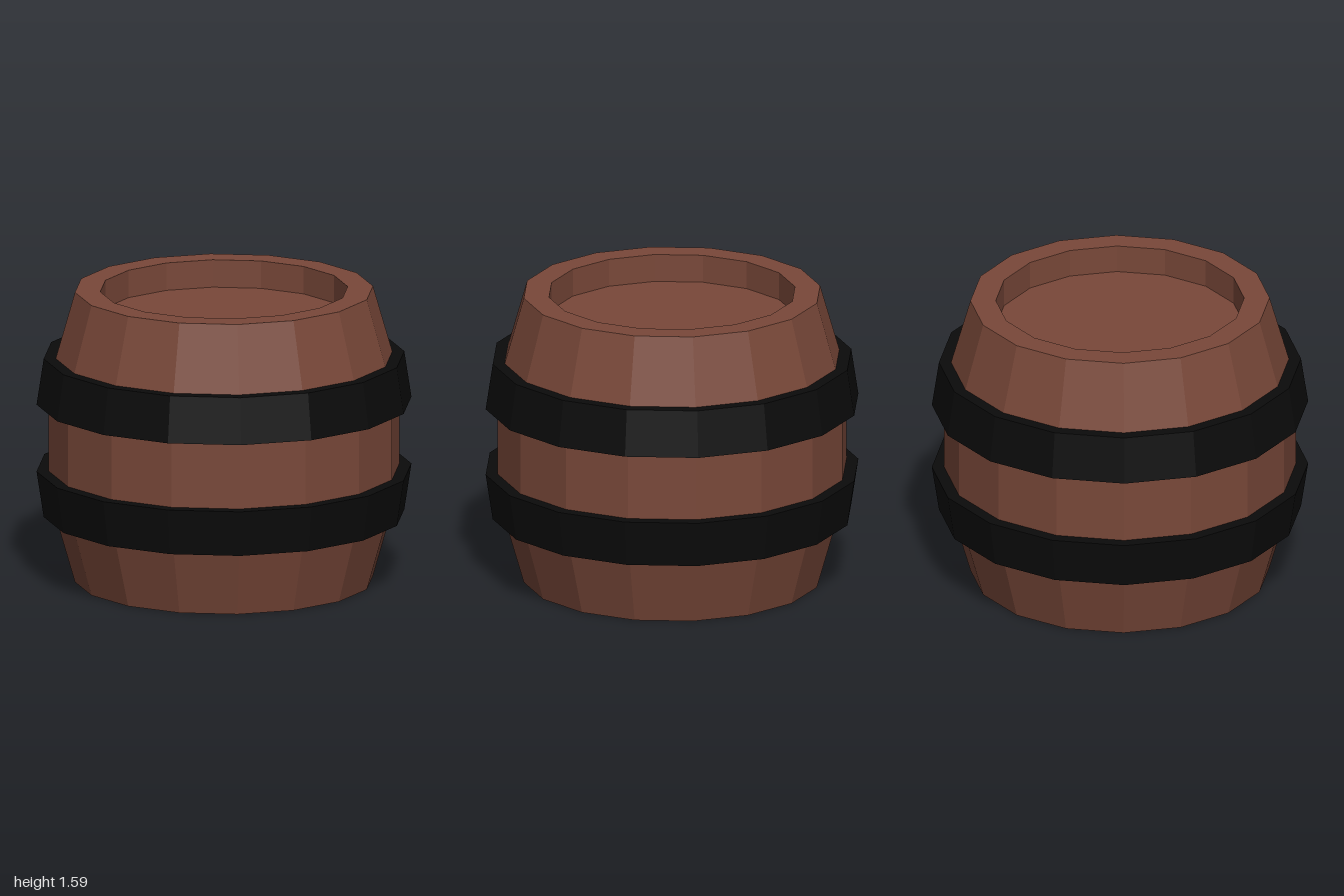
import * as THREE from 'three';

const SIDES = 16;
const HEIGHT = 1.585;
const RIM = 0.66;
const END = 0.795;
const RECESS = 0.15;

const wood = new THREE.MeshStandardMaterial({ color: 0x794839, flatShading: true });
const iron = new THREE.MeshStandardMaterial({ color: 0x0b0b0b, flatShading: true });

// Faceted ring of revolution; the profile runs upwards along its outer side
function ring(name, profile, material) {
  const points = profile.map(([r, y]) => new THREE.Vector2(r, y));
  const geometry = new THREE.LatheGeometry(points, SIDES).toNonIndexed();
  geometry.computeVertexNormals();
  const mesh = new THREE.Mesh(geometry, material);
  mesh.name = name;
  return mesh;
}

// Flat round board facing up or down
function board(name, radius, y, up) {
  const geometry = new THREE.CircleGeometry(radius, SIDES);
  geometry.rotateX(up ? -Math.PI / 2 : Math.PI / 2);
  const mesh = new THREE.Mesh(geometry, wood);
  mesh.name = name;
  mesh.position.y = y;
  return mesh;
}

export function createModel() {
  const barrel = new THREE.Group();
  barrel.name = 'barrel';

  // Bulging staves, flat rim and the inner wall of the recess
  barrel.add(ring('staves', [
    [END, 0], [0.898, 0.36], [0.935, 0.61],
    [0.935, HEIGHT - 0.61], [0.898, HEIGHT - 0.36], [END, HEIGHT],
    [RIM, HEIGHT], [RIM, HEIGHT - RECESS],
  ], wood));

  // Sunken lid and flat base
  barrel.add(board('lid', RIM, HEIGHT - RECESS, true));
  barrel.add(board('base', END, 0, false));

  // Two tapered hoops, widest towards the middle
  const hoop = [[0.89, 0.36], [0.962, 0.36], [1, 0.61], [0.93, 0.61]];
  const mirrored = hoop.map(([r, y]) => [r, HEIGHT - y]).reverse();
  barrel.add(ring('lowerHoop', hoop, iron));
  barrel.add(ring('upperHoop', mirrored, iron));

  return barrel;
}
